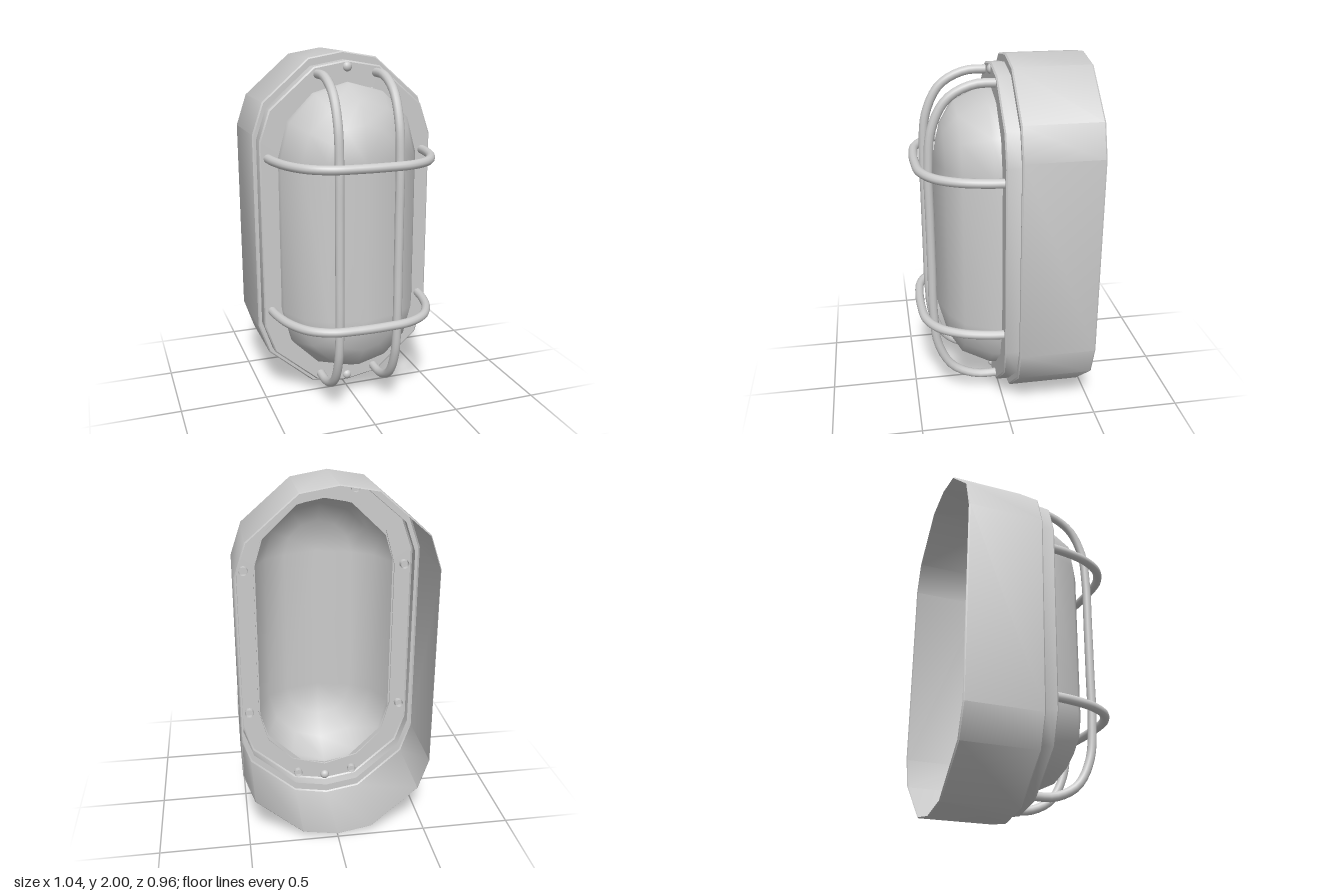
import * as THREE from 'three';
import { toCreasedNormals } from 'three/addons/utils/BufferGeometryUtils.js';

const material = new THREE.MeshStandardMaterial({ color: 0xcccccc, side: THREE.DoubleSide });
const MID = 1; // height of the lamp's centre

// Skin a list of closed rings, each an array of [x, y, z], from back to front
function loft(rings) {
  const n = rings[0].length, index = [];
  for (let i = 0; i < rings.length - 1; i++) {
    for (let j = 0; j < n; j++) {
      const k = (j + 1) % n;
      const a = i * n + j, b = i * n + k, c = b + n, d = a + n;
      index.push(a, b, c, a, c, d);
    }
  }
  const geo = new THREE.BufferGeometry();
  geo.setAttribute('position', new THREE.Float32BufferAttribute(rings.flat(2), 3));
  geo.setIndex(index);
  geo.computeVertexNormals();
  return geo;
}

// Mirror one quarter (side to top) into a full counter-clockwise outline
function fullOutline(quarter) {
  const upper = [...quarter, ...quarter.slice(0, -1).reverse().map(([x, y]) => [-x, y])];
  return [...upper, ...upper.map(([x, y]) => [-x, -y])];
}

function add(group, name, geo) {
  const mesh = new THREE.Mesh(geo, material);
  mesh.name = name;
  group.add(mesh);
  return mesh;
}

// Oblong outline scaled to a half width and half height
const oblong = fullOutline([[1, 0.56], [0.885, 0.737], [0.378, 0.966], [0, 1]]);
const oblongRing = ([w, h, z]) => oblong.map(([x, y]) => [x * w, MID + y * h, z]);
const shell = (profile) => toCreasedNormals(loft(profile.map(oblongRing)), 0.6);

// Half capsule: stadium rings that shrink onto the centre line
function domeGeometry() {
  const profile = [[0.4, 0.02], [0.395, 0.07], [0.32, 0.225], [0.2, 0.3], [0, 0.353]];
  const angles = [0, 1, 2, 3].map((i) => (i * Math.PI) / 6);
  const rings = profile.map(([r, z]) =>
    fullOutline(angles.map((a) => [r * Math.cos(a), 0.44 + r * Math.sin(a)]))
      .map(([x, y]) => [x, MID + y, z]));
  const geo = loft(rings);
  // the crest faces straight forward
  const normal = geo.attributes.normal, n = rings[0].length;
  for (let i = normal.count - n; i < normal.count; i++) normal.setXYZ(i, 0, 0, 1);
  return geo;
}

// Bent wire, from half a path of [offset, z] mirrored about its middle
function wire(half, toPoint) {
  const path = [...half, ...half.slice().reverse().map(([s, z]) => [-s, z])];
  const curve = new THREE.CatmullRomCurve3(path.map(toPoint));
  return new THREE.TubeGeometry(curve, 56, 0.025, 12, false);
}

export function createModel() {
  const lamp = new THREE.Group();
  lamp.name = 'bulkheadLamp';

  // Deep housing, open at the back
  add(lamp, 'housing', shell([
    [0.515, 0.995, -0.48], [0.52, 1, -0.472], [0.52, 1, -0.058],
    [0.513, 0.993, -0.05], [0.497, 0.95, -0.05],
  ]));

  // Raised front flange, closing in to the glass
  add(lamp, 'flange', shell([
    [0.5, 0.955, -0.05], [0.5, 0.955, 0.02], [0.493, 0.947, 0.028], [0.39, 0.83, 0.028],
  ]));

  add(lamp, 'glassDome', domeGeometry());

  // Guard cage: two upright wires and two crosswise wires
  const cage = new THREE.Group();
  cage.name = 'guardCage';
  lamp.add(cage);
  const upright = [[0.885, 0], [0.878, 0.15], [0.805, 0.285], [0.65, 0.365], [0.44, 0.387], [0.15, 0.388]];
  const cross = [[0.457, 0], [0.443, 0.12], [0.405, 0.255], [0.33, 0.37], [0.22, 0.433], [0.08, 0.45]];
  for (const side of [1, -1]) {
    add(cage, side > 0 ? 'leftUprightWire' : 'rightUprightWire',
      wire(upright, ([s, z]) => new THREE.Vector3(side * 0.168, MID + s, z)));
    add(cage, side > 0 ? 'upperCrossWire' : 'lowerCrossWire',
      wire(cross, ([s, z]) => new THREE.Vector3(s, MID + side * 0.442, z)));

    // Domed screw on the flange
    const screw = add(lamp, side > 0 ? 'topScrew' : 'bottomScrew',
      new THREE.SphereGeometry(0.027, 16, 10));
    screw.position.set(0, MID + side * 0.92, 0.024);
    screw.scale.z = 0.8;
  }
  return lamp;
}
